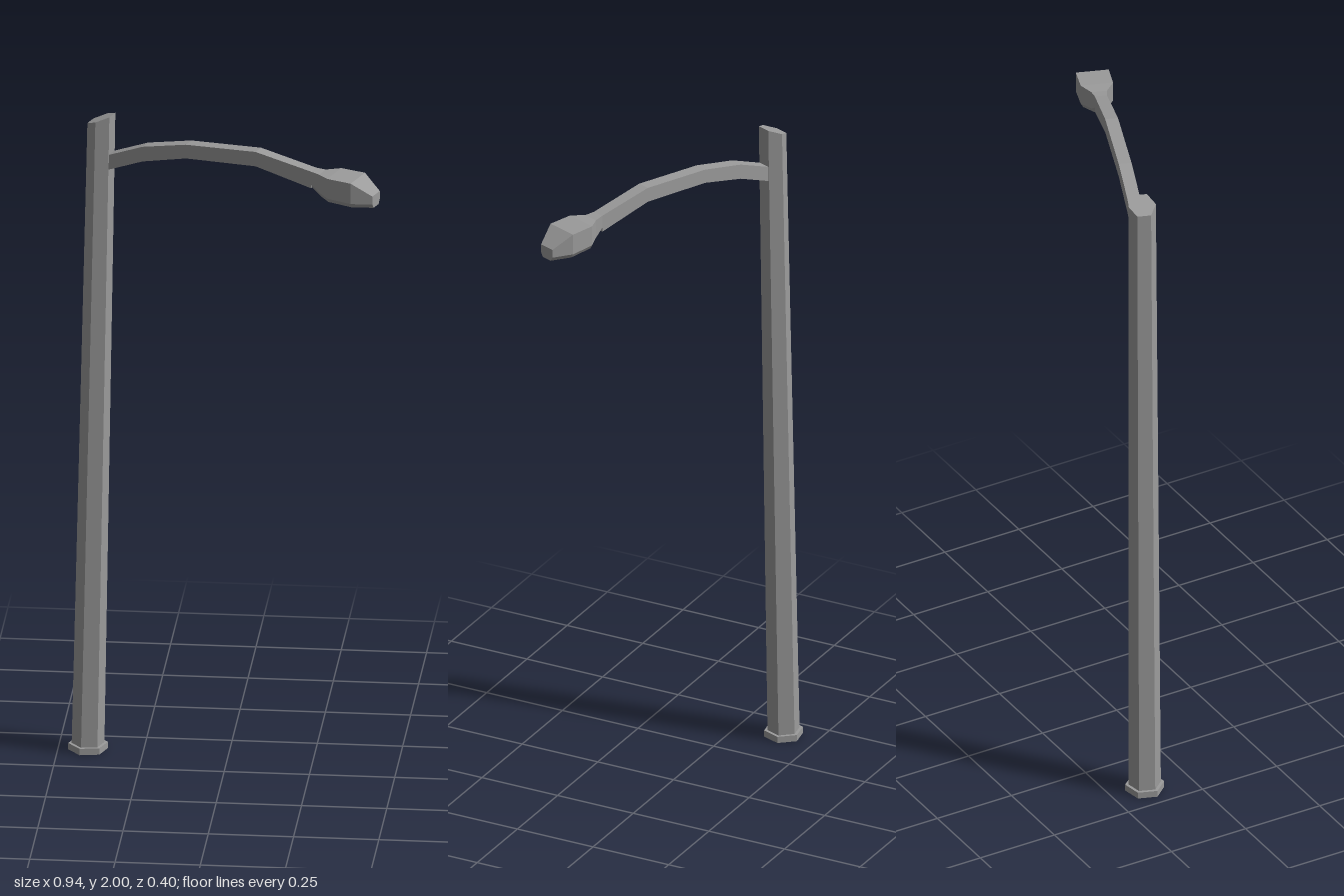
import * as THREE from 'three';

const material = new THREE.MeshStandardMaterial({ color: 0x9b9b9b, flatShading: true });

// Skin a row of equally sized rings of [x, y, z] points and close both ends
function loft(name, rings) {
  const n = rings[0].length, last = (rings.length - 1) * n, index = [];
  for (let i = 0; i < rings.length - 1; i++) {
    for (let j = 0; j < n; j++) {
      const a = i * n + j, b = i * n + (j + 1) % n;
      index.push(a, a + n, b, b, a + n, b + n);
    }
  }
  for (let j = 1; j < n - 1; j++) {
    index.push(0, j, j + 1, last, last + j + 1, last + j);
  }
  const indexed = new THREE.BufferGeometry();
  indexed.setAttribute('position', new THREE.Float32BufferAttribute(rings.flat(2), 3));
  indexed.setIndex(index);
  const geometry = indexed.toNonIndexed();
  geometry.computeVertexNormals();
  const mesh = new THREE.Mesh(geometry, material);
  mesh.name = name;
  return mesh;
}

// Hexagon with a flat side facing the arm; slope tilts it along the arm
function hexagon(x, y, radius, slope = 0) {
  return Array.from({ length: 6 }, (_, k) => {
    const a = Math.PI / 6 + k * Math.PI / 3;
    const dx = radius * Math.cos(a);
    return [x + dx, y + dx * slope, radius * Math.sin(a)];
  });
}

// Upright rectangle across the arm
const armSection = ([x, top, bottom, half]) =>
  [[x, top, half], [x, top, -half], [x, bottom, -half], [x, bottom, half]];

// Upright rectangle with bevelled lower corners
function headSection([x, top, bottom, half]) {
  const rim = bottom + 0.013, inner = half - 0.008;
  return [
    [x, top, half], [x, top, -half], [x, rim, -half],
    [x, bottom, -inner], [x, bottom, inner], [x, rim, half],
  ];
}

export function createModel() {
  const model = new THREE.Group();
  model.name = 'streetLight';

  // Everything lies in one upright plane, turned 20 degrees
  const lamp = new THREE.Group();
  lamp.name = 'lampPost';
  lamp.position.set(-0.372, 0, -0.13);
  lamp.rotation.y = -Math.PI / 9;
  model.add(lamp);

  // Foot plate and leaning, tapered pole with a slanted top
  lamp.add(loft('basePlate', [hexagon(-0.043, 0, 0.058), hexagon(-0.043, 0.02, 0.058)]));
  lamp.add(loft('pole', [hexagon(-0.043, 0.02, 0.048), hexagon(0, 1.985, 0.041, 0.42)]));

  // Arched arm: distance from pole, top, bottom, half width
  lamp.add(loft('arm', [
    [0, 1.868, 1.822, 0.019],
    [0.142, 1.925, 1.879, 0.019],
    [0.282, 1.955, 1.912, 0.019],
    [0.507, 1.97, 1.925, 0.019],
    [0.685, 1.938, 1.886, 0.018],
  ].map(armSection)));

  // Lamp head, swelling from the arm and tapering to the tip
  lamp.add(loft('lampHead', [
    [0.685, 1.938, 1.886, 0.018],
    [0.714, 1.935, 1.866, 0.023],
    [0.752, 1.937, 1.862, 0.048],
    [0.828, 1.935, 1.858, 0.049],
    [0.887, 1.896, 1.858, 0.025],
  ].map(headSection)));

  return model;
}
